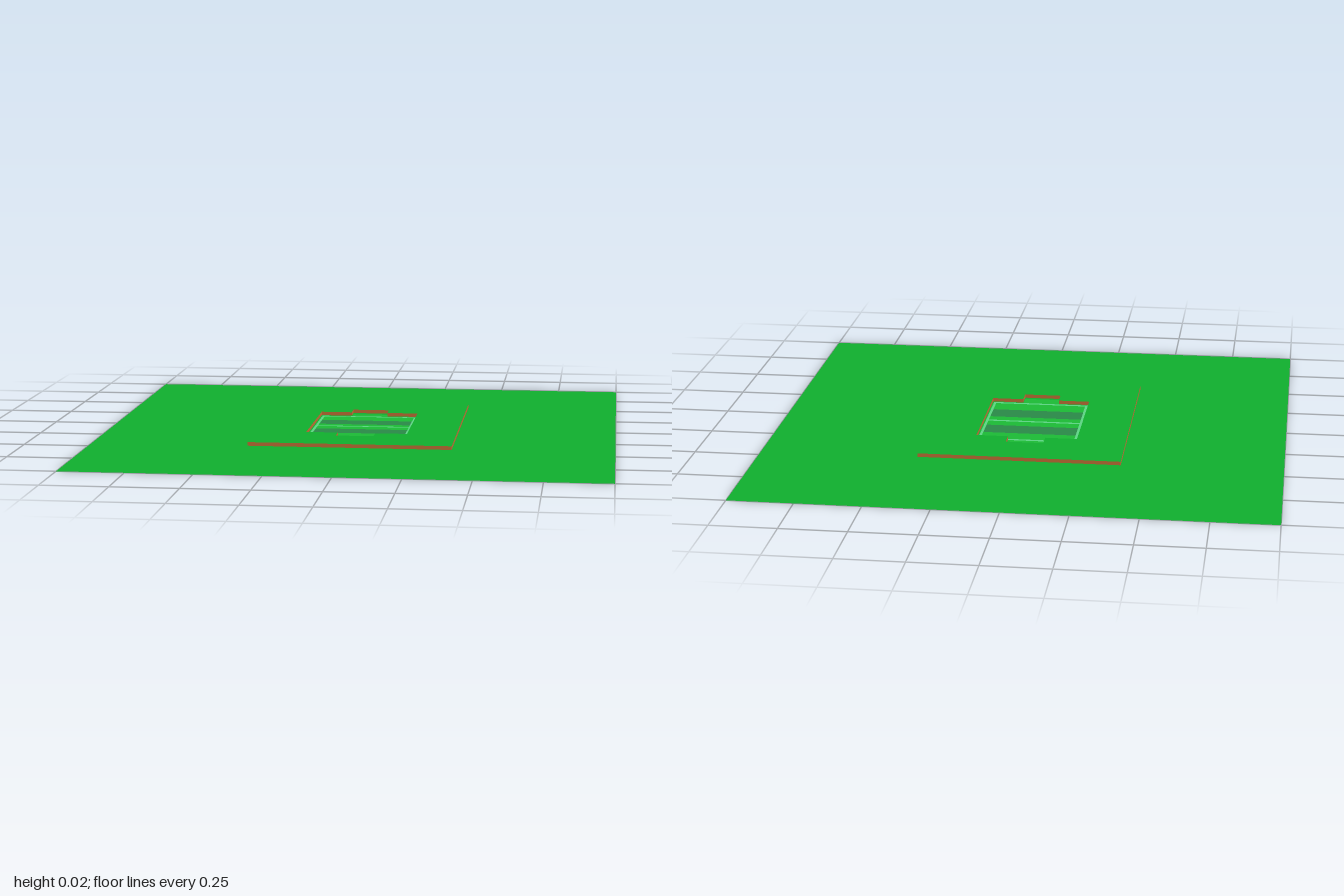
import * as THREE from 'three';

const paint = (color, side = THREE.FrontSide) => new THREE.MeshStandardMaterial({ color, side });

// Trace a closed outline from [x, y] corners
function outline(Type, corners) {
  const path = new Type();
  corners.forEach(([x, y], i) => (i ? path.lineTo(x, y) : path.moveTo(x, y)));
  path.closePath();
  return path;
}

export function createModel() {
  const group = new THREE.Group();
  const grass = paint(0x10b02e);
  const wall = paint(0xc07035);
  const floorGreen = paint(0x1cbc36);
  const darkStripe = paint(0x2a8a48);
  const lineGreen = paint(0x5cd584);

  function add(name, geometry, material, y) {
    const mesh = new THREE.Mesh(geometry, material);
    mesh.name = name;
    mesh.position.y = y;
    group.add(mesh);
    return mesh;
  }

  // Flat rectangle facing up
  function flat(name, width, depth, x, y, z, material) {
    const mesh = add(name, new THREE.PlaneGeometry(width, depth).rotateX(-Math.PI / 2), material, y);
    mesh.position.x = x;
    mesh.position.z = z;
  }

  // Wide lawn
  flat('ground', 2, 2, 0, 0, 0, paint(0x10b02e, THREE.DoubleSide));

  // Raised slab with a pitch-shaped opening and a goal notch at each end
  const w = 0.197, h = 0.233, gw = 0.073, gh = 0.297;
  const opening = [
    [-w, -h], [-gw, -h], [-gw, -gh], [gw, -gh], [gw, -h], [w, -h],
    [w, h], [gw, h], [gw, gh], [-gw, gh], [-gw, h], [-w, h],
  ];
  const slab = outline(THREE.Shape, [[-0.388, -0.473], [0.388, -0.473], [0.388, 0.473], [-0.388, 0.473]]);
  slab.holes.push(outline(THREE.Path, opening));
  const slabGeometry = new THREE.ExtrudeGeometry(slab, { depth: 0.014, bevelEnabled: false });
  add('slab', slabGeometry.rotateX(-Math.PI / 2), [grass, wall], 0.008);

  // Sunken pitch floor
  const floor = new THREE.ShapeGeometry(outline(THREE.Shape, opening));
  add('pitchFloor', floor.rotateX(-Math.PI / 2), floorGreen, 0.003);

  // Mown stripes, end lines and side lines
  for (const s of [-1, 1]) {
    flat('pitchStripe', 0.365, 0.09, 0, 0.0045, s * 0.098, darkStripe);
    flat('endLine', 0.385, 0.014, 0, 0.006, s * 0.225, lineGreen);
    flat('sideLine', 0.01, 0.436, s * 0.1875, 0.006, 0, lineGreen);
  }
  flat('halfwayLine', 0.365, 0.014, 0, 0.006, 0, lineGreen);

  return group;
}
